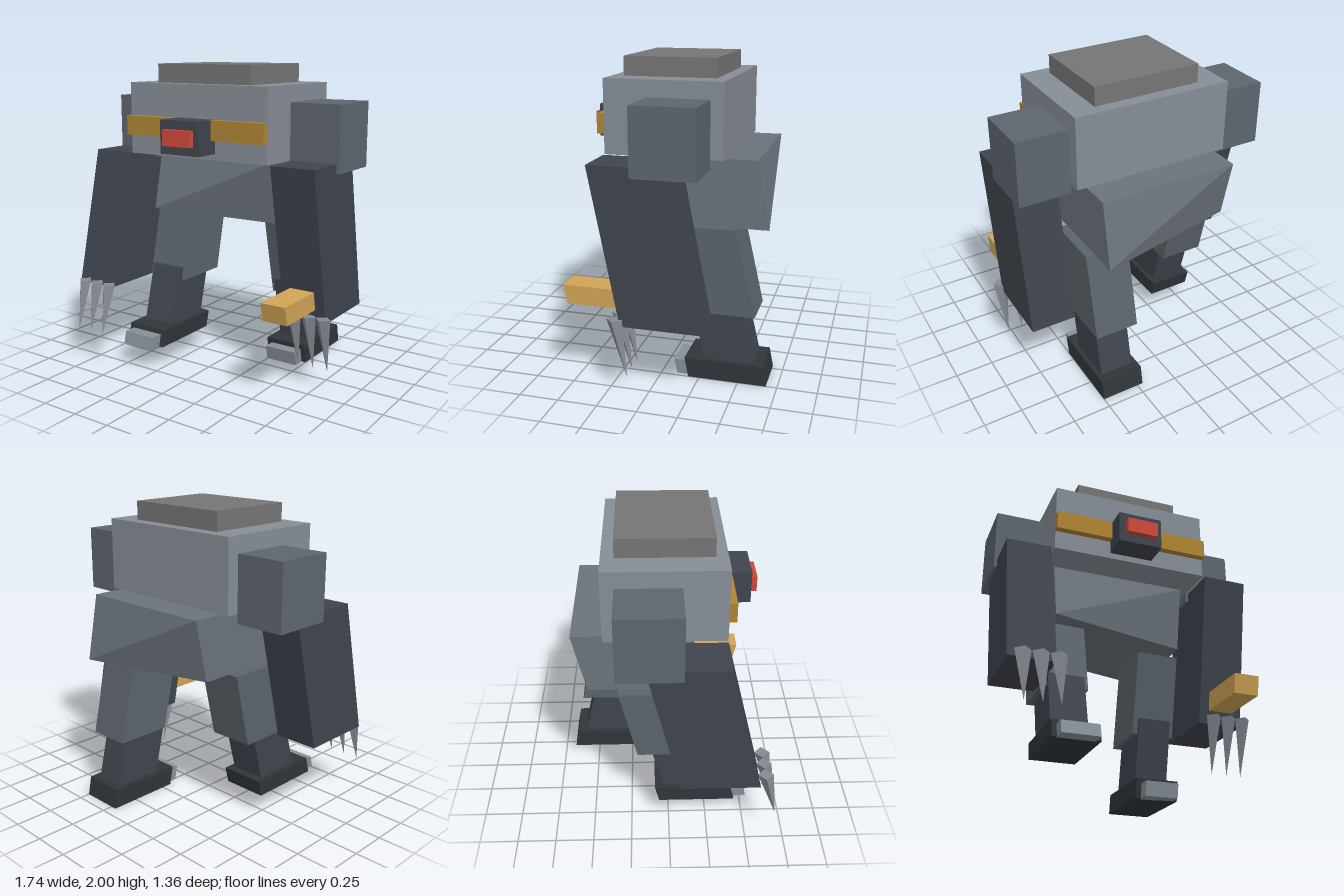
import * as THREE from 'three';

const COLORS = {
  hull: 0x868d96, cap: 0x757575, shoulder: 0x5d656d, pelvis: 0x6b737b, thigh: 0x5b636a,
  dark: 0x3f444d, foot: 0x30353a, toe: 0x868f96, claw: 0x858a92,
  belt: 0xb08434, gold: 0xd0a555, red: 0xcc4a3a,
};

function mesh(name, geometry, color) {
  const m = new THREE.Mesh(geometry, new THREE.MeshStandardMaterial({ color: COLORS[color], flatShading: true }));
  m.name = name;
  return m;
}

// Box between limits; z limits hold at the top, and the bottom is shifted by lean along z
function block(name, color, [x0, x1], [y0, y1], [z0, z1], lean = 0) {
  const g = new THREE.BoxGeometry(x1 - x0, y1 - y0, z1 - z0);
  g.translate((x0 + x1) / 2, (y0 + y1) / 2, (z0 + z1) / 2);
  const p = g.attributes.position;
  for (let i = 0; i < p.count; i++) p.setZ(i, p.getZ(i) + lean * (y1 - p.getY(i)) / (y1 - y0));
  g.computeVertexNormals();
  return mesh(name, g, color);
}

// Four-sided spike pointing down, its tip shifted along z
function claw(x, top, tip, z, lean) {
  const h = top - tip;
  const g = new THREE.ConeGeometry(0.05, h, 4);
  g.rotateX(Math.PI);
  g.translate(x, (top + tip) / 2, z);
  const p = g.attributes.position;
  for (let i = 0; i < p.count; i++) p.setZ(i, p.getZ(i) + lean * (top - p.getY(i)) / h);
  g.computeVertexNormals();
  return mesh('claw', g, 'claw');
}

function group(name, ...parts) {
  const g = new THREE.Group();
  g.name = name;
  g.add(...parts);
  return g;
}

// Hips twist with the stride: the bottom turns and tips toward the trailing leg
function makePelvis() {
  const m = block('pelvis', 'pelvis', [-0.475, 0.44], [1.03, 1.42], [-0.585, 0.12]);
  const p = m.geometry.attributes.position;
  for (let i = 0; i < p.count; i++) {
    if (p.getY(i) > 1.2) continue;
    p.setZ(i, p.getZ(i) - 0.18 * p.getX(i));
    p.setY(i, p.getY(i) - 0.036 * (p.getX(i) + 0.475));
  }
  m.geometry.computeVertexNormals();
  return m;
}

export function createModel() {
  const model = group('walkingRobot',
    // Body
    group('body',
      block('torso', 'hull', [-0.54, 0.5], [1.42, 1.88], [-0.39, 0.35]),
      block('topPlate', 'cap', [-0.37, 0.335], [1.88, 2], [-0.31, 0.275]),
      block('chestBand', 'belt', [-0.54, 0.5], [1.545, 1.67], [0.33, 0.395]),
      block('eyeHousing', 'dark', [-0.165, 0.125], [1.46, 1.67], [0.33, 0.52]),
      block('eye', 'red', [-0.12, 0.085], [1.515, 1.615], [0.5, 0.56]),
      makePelvis()),

    // Right arm swings forward, left arm swings back
    group('rightArm',
      block('rightShoulder', 'shoulder', [-0.87, -0.54], [1.36, 1.775], [-0.31, 0.08]),
      block('rightForearm', 'dark', [-0.85, -0.56], [0.54, 1.42], [-0.14, 0.35], 0.21),
      ...[-0.768, -0.663, -0.558].map((x) => claw(x, 0.57, 0.24, 0.6, 0.08))),
    group('leftArm',
      block('leftShoulder', 'shoulder', [0.5, 0.835], [1.36, 1.775], [-0.31, 0.08]),
      block('leftForearm', 'dark', [0.52, 0.815], [0.44, 1.42], [-0.14, 0.35], -0.19),
      block('blaster', 'gold', [0.585, 0.75], [0.525, 0.645], [0.2, 0.55], -0.03),
      ...[0.61, 0.715, 0.815].map((x) => claw(x, 0.485, 0.115, 0.195, -0.075))),

    // Right leg steps forward, raised off the ground
    group('rightLeg',
      block('rightThigh', 'thigh', [-0.54, -0.245], [0.55, 1.03], [-0.31, 0.07], 0.11),
      block('rightShin', 'dark', [-0.51, -0.275], [0.25, 0.63], [-0.13, 0.19], 0.1),
      block('rightFoot', 'foot', [-0.54, -0.245], [0.145, 0.255], [-0.09, 0.41], 0.028),
      block('rightToe', 'toe', [-0.51, -0.275], [0.145, 0.225], [0.4, 0.5], 0.02)),
    // Left leg trails, planted on the ground
    group('leftLeg',
      block('leftThigh', 'thigh', [0.21, 0.5], [0.45, 1.0], [-0.475, -0.1], -0.125),
      block('leftShin', 'dark', [0.245, 0.47], [0.12, 0.55], [-0.495, -0.18], -0.1),
      block('leftFoot', 'foot', [0.21, 0.5], [0, 0.128], [-0.655, -0.155], -0.025),
      block('leftToe', 'toe', [0.245, 0.47], [0, 0.095], [-0.18, -0.08], -0.02)));
  return model;
}
